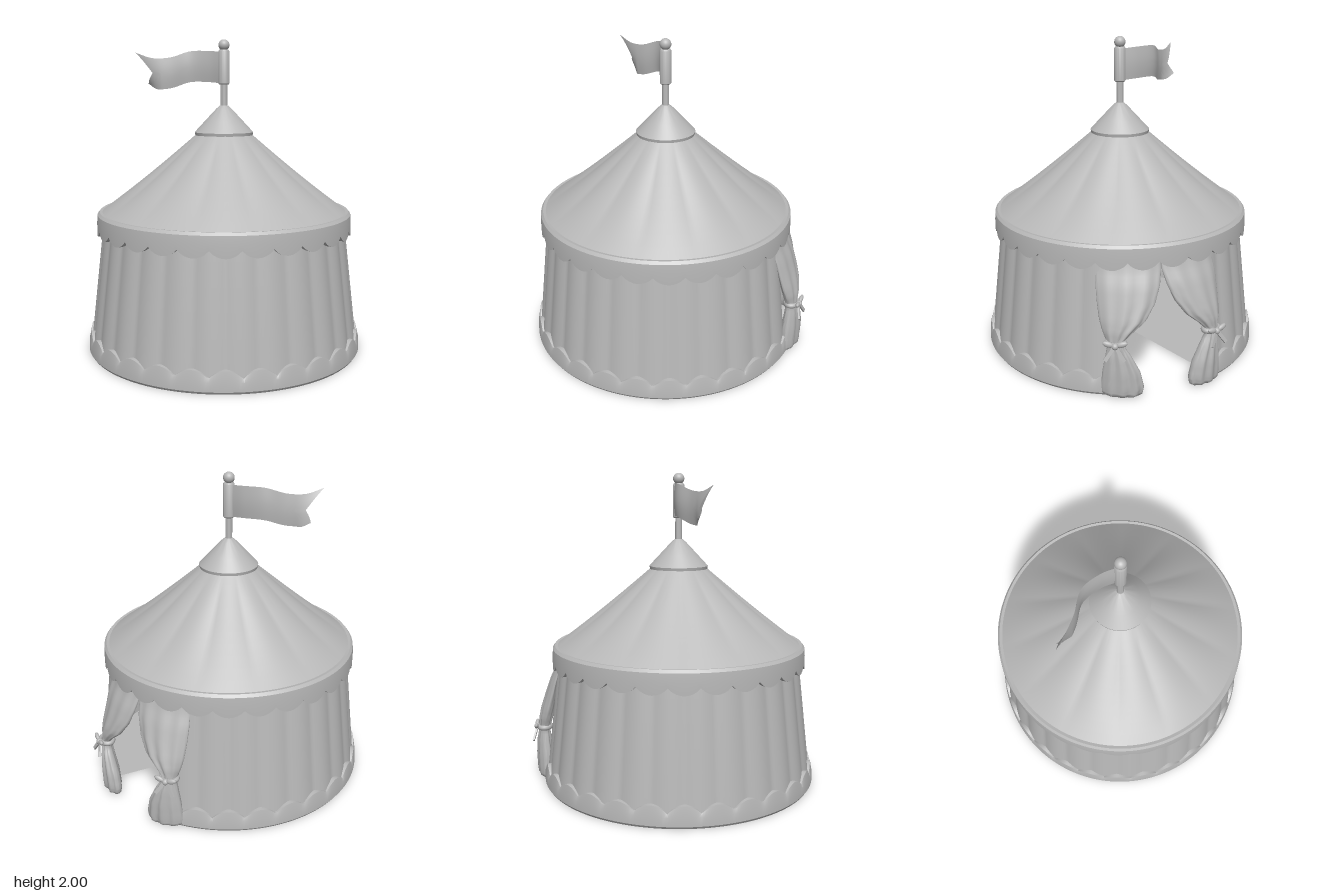
import * as THREE from 'three';
import { toCreasedNormals } from 'three/addons/utils/BufferGeometryUtils.js';

const CX = -0.02;                 // tent axis
const DOOR = 0.077, HALF = 0.38;  // door direction and half-angle, measured from +x towards +z
const DOOR_Z = 0.065;
const TAU = Math.PI * 2;

const canvas = new THREE.MeshStandardMaterial({ color: 0xb8b8b8, side: THREE.DoubleSide });
canvas.name = 'canvasGrey';

// Surface from a rule fn(u, v) -> [x, y, z]
function surface(fn, nu, nv, crease = 0.6) {
  const pos = [], idx = [];
  for (let i = 0; i <= nu; i++)
    for (let j = 0; j <= nv; j++) pos.push(...fn(i / nu, j / nv));
  for (let i = 0; i < nu; i++)
    for (let j = 0; j < nv; j++) {
      const a = i * (nv + 1) + j, b = a + nv + 1;
      idx.push(a, a + 1, b, b, a + 1, b + 1);
    }
  const g = new THREE.BufferGeometry();
  g.setAttribute('position', new THREE.Float32BufferAttribute(pos, 3));
  g.setIndex(idx);
  return toCreasedNormals(g, crease);
}

const polar = (r, a, y) => [CX + r * Math.cos(a), y, r * Math.sin(a)];
const scallop = a => Math.pow(Math.abs(Math.cos(14 * a)), 0.75);
const wallRadius = y => 0.875 - 0.117 * y;
const wallAngle = u => DOOR + HALF + u * (TAU - 2 * HALF);

// Piecewise-linear lookup in rows of numbers
function sample(rows, t) {
  const k = Math.min(rows.length - 2, Math.floor(t * (rows.length - 1)));
  const f = t * (rows.length - 1) - k;
  return rows[k].map((v, i) => v + (rows[k + 1][i] - v) * f);
}

export function createModel() {
  const tent = new THREE.Group();
  tent.name = 'tent';
  const add = (name, geo, parent = tent) => {
    const m = new THREE.Mesh(geo, canvas);
    m.name = name;
    parent.add(m);
    return m;
  };

  // Pleated wall with a door gap
  add('wall', surface((u, v) => {
    const a = wallAngle(u), y = 0.02 + v * 0.86;
    return polar(wallRadius(y) - 0.006 + 0.014 * Math.abs(Math.sin(14 * a)), a, y);
  }, 280, 6));

  // Scalloped band round the foot
  add('footTrim', surface((u, v) => {
    const a = wallAngle(u), top = 0.085 + 0.05 * scallop(a);
    const [r, y] = sample([[0.84, 0], [0.885, 0], [0.895, 0.015], [0.893, 0.07], [0.882, top], [0.85, top], [0.84, 0]], v);
    return polar(r, a, y);
  }, 300, 6));

  // Thin floor, cut away at the door
  const floor = add('floor', new THREE.CylinderGeometry(0.86, 0.86, 0.015, 72, 1, false,
    Math.PI / 2 - DOOR + HALF, TAU - 2 * HALF));
  floor.position.set(CX, 0.022, 0);

  // Scalloped valance under the eaves
  add('valance', surface((u, v) => {
    const a = u * TAU, low = 0.805 - 0.045 * scallop(a);
    const [r, y] = sample([[0.77, 0.9], [0.808, 0.907], [0.822, 0.89], [0.826, 0.84],
      [0.826, low], [0.795, low], [0.78, 0.88]], v);
    return polar(r, a, y);
  }, 224, 6));

  // Roof with soft radial folds
  add('roof', surface((u, v) => {
    const a = u * TAU;
    const fold = Math.sin(v * Math.PI) * (0.012 * Math.abs(Math.sin(7 * a)) - 0.012);
    return polar(0.79 + (0.17 - 0.79) * v, a, 0.905 + 0.5 * v + fold - 0.008 * Math.sin(v * Math.PI));
  }, 168, 10));

  // Cap, pole, flag sleeve and finial
  const lathe = (name, pts) => {
    const g = toCreasedNormals(new THREE.LatheGeometry(pts.map(p => new THREE.Vector2(...p)), 40), 0.6);
    add(name, g).position.x = CX;
  };
  lathe('roofCap', [[0.15, 1.39], [0.185, 1.385], [0.19, 1.41], [0.12, 1.485], [0.05, 1.56], [0.025, 1.582], [0, 1.585]]);
  lathe('pole', [[0.022, 1.56], [0.022, 1.73]]);
  lathe('flagSleeve', [[0, 1.715], [0.03, 1.715], [0.036, 1.722], [0.036, 1.925], [0.03, 1.935], [0, 1.935]]);
  const ball = add('finial', new THREE.SphereGeometry(0.036, 24, 16));
  ball.position.set(CX, 1.964, 0);

  // Waving swallow-tailed flag
  const path = new THREE.CatmullRomCurve3([[-0.02, 1.82, 0], [-0.02, 1.83, -0.12], [-0.06, 1.83, -0.25],
    [-0.16, 1.79, -0.335], [-0.24, 1.785, -0.42], [-0.315, 1.82, -0.5]].map(p => new THREE.Vector3(...p)));
  add('flag', surface((u, s) => {
    const v = 1 - Math.abs(2 * s - 1);
    const t = u * (1 - 0.17 * (1 - Math.abs(2 * v - 1)));
    const p = path.getPoint(t), end = Math.max(0, t - 0.7) / 0.3;
    const thick = 0.009 * Math.sin(s * TAU);
    return [p.x + thick * 0.8 + 0.1 * end * (1 - v), p.y + (v - 0.5) * 0.2, p.z - thick * 0.6 + 0.02 * end * (1 - v)];
  }, 36, 20, 0.9));

  // Gathered curtains: rows of height, inner edge, outer edge, offset from wall, half depth
  const rows = [[0.87, 0, 0.36, -0.01, 0.015], [0.75, 0, 0.36, 0, 0.025], [0.66, 0.02, 0.37, 0.02, 0.035],
    [0.56, 0.06, 0.372, 0.035, 0.042], [0.47, 0.125, 0.37, 0.05, 0.045], [0.41, 0.2, 0.36, 0.058, 0.042],
    [0.36, 0.25, 0.345, 0.06, 0.035], [0.32, 0.25, 0.34, 0.06, 0.035], [0.26, 0.215, 0.35, 0.055, 0.045],
    [0.16, 0.165, 0.365, 0.04, 0.055], [0.06, 0.142, 0.373, 0.025, 0.055], [0.02, 0.15, 0.37, 0.02, 0.05],
    [0.006, 0.17, 0.35, 0.02, 0.035], [0.006, 0.26, 0.26, 0.02, 0]];
  for (const side of [1, -1]) {
    const curtain = new THREE.Group();
    curtain.name = side > 0 ? 'leftwardCurtain' : 'rightwardCurtain';
    tent.add(curtain);
    const wallX = (y, z) => CX + Math.sqrt(wallRadius(y) ** 2 - z * z);
    add('drape', surface((u, v) => {
      const [y, zi, zo, off, d] = sample(rows, v), phi = u * TAU;
      const z = DOOR_Z + side * ((zi + zo) / 2 + (zo - zi) / 2 * Math.cos(phi));
      const pleat = 1 + 0.14 * Math.cos(9 * phi);
      return [wallX(y, z) + off + d * pleat * Math.sin(phi), y, z];
    }, 54, 39, 1.1), curtain);

    // Tie band with a bow
    const tie = new THREE.Group();
    tie.name = 'tie';
    const tz = DOOR_Z + side * 0.297;
    tie.position.set(wallX(0.34, tz) + 0.06, 0.345, tz);
    tie.rotation.y = -Math.asin(tz / 0.84);
    curtain.add(tie);
    const band = add('tieBand', new THREE.TorusGeometry(0.045, 0.013, 8, 28), tie);
    band.rotation.x = Math.PI / 2;
    band.scale.set(0.9, 1.15, 1.3);
    const knot = add('knot', new THREE.SphereGeometry(0.02, 14, 10), tie);
    knot.position.x = 0.05;
    for (const k of [1, -1]) {
      const loop = add('bowLoop', new THREE.SphereGeometry(0.034, 14, 10), tie);
      loop.scale.set(0.4, 0.5, 1);
      loop.position.set(0.052, 0.014, k * 0.04);
      loop.rotation.x = -k * 0.3;
      const tail = add('bowTail', new THREE.BoxGeometry(0.012, 0.1, 0.022), tie);
      tail.position.set(0.06, -0.04, k * 0.03);
      tail.rotation.set(-k * 0.6, 0, 0.25);
    }
  }
  return tent;
}
